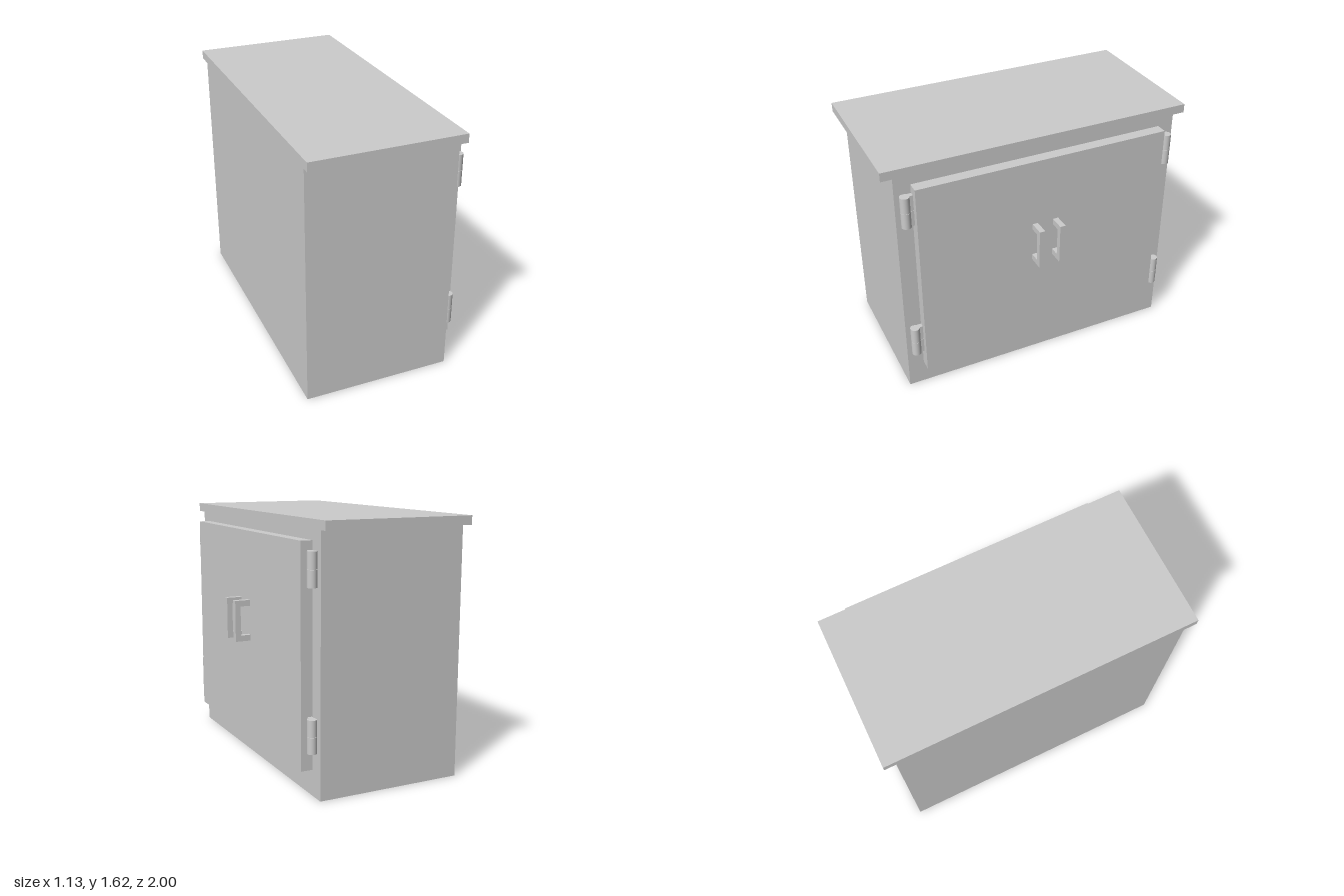
import * as THREE from 'three';

const material = new THREE.MeshStandardMaterial({ color: 0xcccccc });

function addMesh(parent, name, geometry, x = 0, y = 0, z = 0) {
  const mesh = new THREE.Mesh(geometry, material);
  mesh.name = name;
  mesh.position.set(x, y, z);
  parent.add(mesh);
  return mesh;
}

// Box given by its extents along each axis
function addBox(parent, name, [x0, x1], [y0, y1], [z0, z1]) {
  return addMesh(parent, name, new THREE.BoxGeometry(x1 - x0, y1 - y0, z1 - z0),
    (x0 + x1) / 2, (y0 + y1) / 2, (z0 + z1) / 2);
}

// Square-section pull handle, standing out from the door along +x
function addHandle(parent, z) {
  const width = 0.036;
  const outline = [[0.463, 0.80], [0.563, 0.80], [0.563, 1.064], [0.463, 1.064],
    [0.463, 1.026], [0.527, 1.026], [0.527, 0.838], [0.463, 0.838]];
  const shape = new THREE.Shape(outline.map(([x, y]) => new THREE.Vector2(x, y)));
  const geometry = new THREE.ExtrudeGeometry(shape, { depth: width, bevelEnabled: false });
  addMesh(parent, 'handle', geometry, 0, 0, z - width / 2);
}

// Two-knuckle barrel hinge with a leaf reaching the door edge
function addHinge(parent, y, side) {
  const hinge = new THREE.Group();
  hinge.name = 'hinge';
  const half = 0.102, gap = 0.001, radius = 0.03;
  for (const s of [-1, 1]) {
    const knuckle = new THREE.CylinderGeometry(radius, radius, half - gap, 32);
    addMesh(hinge, 'hingeKnuckle', knuckle, 0.416, y + s * (half + gap) / 2, side * 0.874);
    addMesh(hinge, 'hingeLeaf', new THREE.BoxGeometry(0.03, half - gap, 0.05),
      0.408, y + s * (half + gap) / 2, side * 0.849);
  }
  parent.add(hinge);
}

export function createModel() {
  const cabinet = new THREE.Group();
  cabinet.name = 'cabinet';

  // Case and overhanging top
  addBox(cabinet, 'body', [-0.555, 0.389], [0, 1.566], [-0.928, 0.928]);
  addBox(cabinet, 'top', [-0.565, 0.40], [1.566, 1.622], [-1, 1]);

  // Door panel with its hardware
  addBox(cabinet, 'door', [0.388, 0.463], [0.16, 1.502], [-0.825, 0.825]);
  for (const side of [-1, 1]) {
    addHandle(cabinet, side * 0.07);
    for (const y of [0.382, 1.346]) addHinge(cabinet, y, side);
  }
  return cabinet;
}
